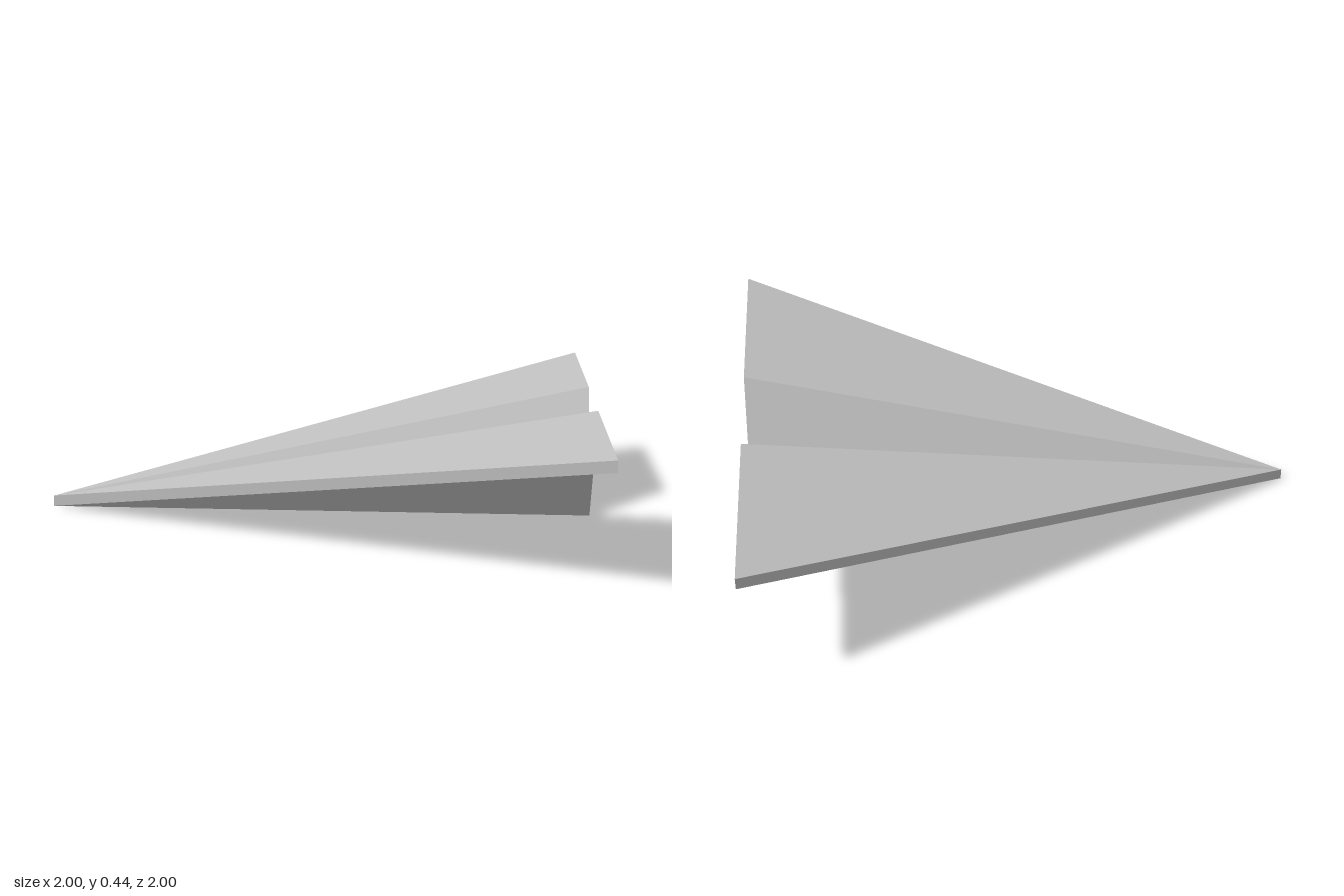
import * as THREE from 'three';

const THICK = 0.04;

// Triangular sheet from the nose to the tail points p (+z side) and q (-z side).
// Only the outermost sheets get a side edge; neighbours meet at the folds.
function foldedSheet(p, q, outerSide) {
  const n = [-1, 0, 0];
  const [N, P, Q] = [n, p, q].map(([x, y, z]) => [x, y + THICK, z]);
  const corners = [];
  const quad = (a, b, c, d) => corners.push(a, b, c, a, c, d);

  corners.push(N, P, Q, n, q, p); // upper and lower faces
  quad(p, q, Q, P); // tail edge
  if (outerSide > 0) quad(n, p, P, N);
  if (outerSide < 0) quad(q, n, N, Q);

  const geometry = new THREE.BufferGeometry();
  geometry.setAttribute('position', new THREE.Float32BufferAttribute(corners.flat(), 3));
  geometry.computeVertexNormals();
  return geometry;
}

export function createModel() {
  const model = new THREE.Group();
  model.name = 'paperPlane';
  const paper = new THREE.MeshStandardMaterial({ color: 0xc0c0c0 });
  paper.name = 'grey paper';

  // Tail outline: wing tip, fold, keel, fold, wing tip
  const tail = [[1, 0.4, 1], [1, 0.4, 0.225], [1, 0, 0], [1, 0.4, -0.225], [1, 0.4, -1]];
  const names = ['frontWing', 'frontKeelSide', 'backKeelSide', 'backWing'];

  names.forEach((name, i) => {
    const outerSide = i === 0 ? 1 : i === 3 ? -1 : 0;
    const sheet = new THREE.Mesh(foldedSheet(tail[i], tail[i + 1], outerSide), paper);
    sheet.name = name;
    model.add(sheet);
  });
  return model;
}
